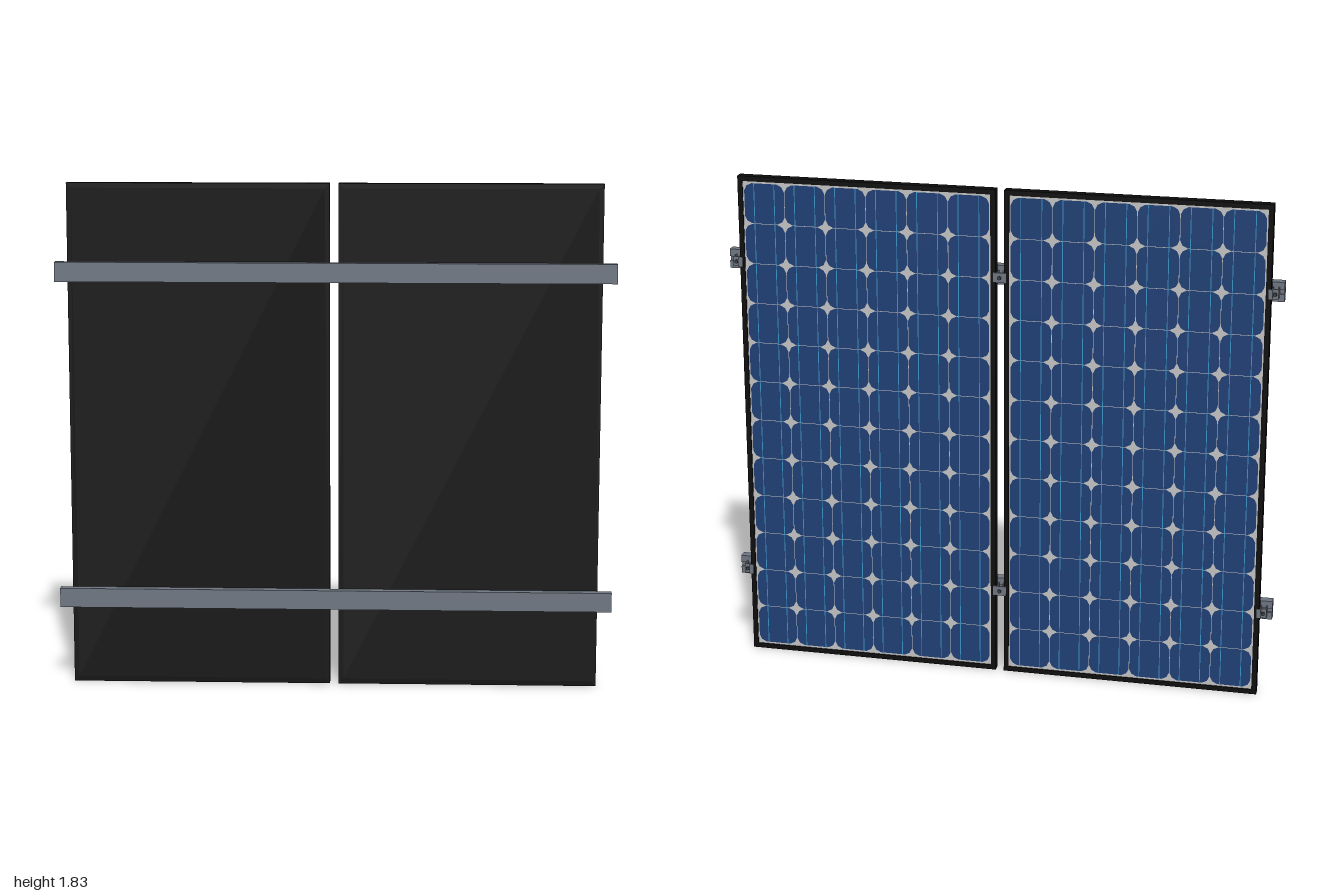
import * as THREE from 'three';
import { mergeGeometries } from 'three/addons/utils/BufferGeometryUtils.js';

const mat = (name, color, side = THREE.FrontSide) => {
  const m = new THREE.MeshStandardMaterial({ color, side });
  m.name = name;
  return m;
};

export function createModel() {
  const black = mat('black frame', 0x0d0d0d);
  const sheetWhite = mat('backing sheet', 0xc4c4c4);
  const cellBlue = mat('cell blue', 0x1f3f75);
  const busBlue = mat('busbar light blue', 0x3a93c6);
  const steel = mat('rail grey', 0x6e7681);
  const dark = mat('bolt dark grey', 0x3c4046);

  const model = new THREE.Group();
  model.name = 'solarPanelArray';
  const add = (parent, name, geo, material, x = 0, y = 0, z = 0) => {
    const mesh = new THREE.Mesh(geo, material);
    mesh.name = name;
    mesh.position.set(x, y, z);
    parent.add(mesh);
    return mesh;
  };
  const polygon = (pts) => new THREE.Shape(pts.map(([x, y]) => new THREE.Vector2(x, y)));
  const rect = (w, h) => polygon([[-w / 2, -h / 2], [w / 2, -h / 2], [w / 2, h / 2], [-w / 2, h / 2]]);
  const extrude = (shape, depth) =>
    new THREE.ExtrudeGeometry(shape, { depth, bevelEnabled: false });

  // Panel: frame, backing, and a grid of cut-corner cells facing -z
  const W = 0.938, H = 1.825, D = 0.034, LIP = 0.018, COLS = 6, ROWS = 12;
  const frameShape = rect(W, H);
  frameShape.holes.push(rect(W - 2 * LIP, H - 2 * LIP));
  const frameGeo = extrude(frameShape, D).translate(0, 0, -D);

  const innerW = W - 2 * LIP - 0.008, innerH = H - 2 * LIP - 0.012;
  const pw = innerW / COLS, ph = innerH / ROWS;
  const a = pw / 2 - 0.001, b = ph / 2 - 0.001, c = 0.027, k = 0.009;
  const cellShape = polygon([
    [-a + c, -b], [a - c, -b], [a - k, -b + k], [a, -b + c], [a, b - c], [a - k, b - k],
    [a - c, b], [-a + c, b], [-a + k, b - k], [-a, b - c], [-a, -b + c], [-a + k, -b + k],
  ]);
  const cells = [], bars = [];
  for (let i = 0; i < COLS; i++) {
    const x = (i + 0.5) * pw - innerW / 2;
    for (let j = 0; j < ROWS; j++) {
      const y = (j + 0.5) * ph - innerH / 2;
      cells.push(new THREE.ShapeGeometry(cellShape).rotateY(Math.PI).translate(x, y, -0.0308));
    }
    for (const s of [-1, 1]) {
      bars.push(new THREE.PlaneGeometry(0.003, innerH).rotateY(Math.PI)
        .translate(x + s * pw * 0.25, 0, -0.0316));
    }
  }
  const cellGeo = mergeGeometries(cells), barGeo = mergeGeometries(bars);

  for (const [name, x] of [['rightPanel', -0.488], ['leftPanel', 0.481]]) {
    const panel = new THREE.Group();
    panel.name = name;
    panel.position.set(x, H / 2, 0);
    add(panel, 'frame', frameGeo, black);
    add(panel, 'frontCover', new THREE.BoxGeometry(W - 2 * LIP, H - 2 * LIP, 0.004), black, 0, 0, -0.002);
    add(panel, 'backingSheet', new THREE.BoxGeometry(W - 2 * LIP, H - 2 * LIP, 0.026), sheetWhite, 0, 0, -0.017);
    add(panel, 'cells', cellGeo, cellBlue);
    add(panel, 'busbars', barGeo, busBlue);
    model.add(panel);
  }

  // Rail: hollow section with a slot on the panel side, run along x
  const railShape = polygon([
    [0.034, -0.035], [0.034, 0.035], [0.001, 0.035], [0.001, 0.008], [0.009, 0.008],
    [0.009, -0.008], [0.001, -0.008], [0.001, -0.035],
  ]);
  for (const s of [-1, 1]) {
    const hole = new THREE.Path();
    const y0 = s * 0.011, y1 = s * 0.031;
    hole.moveTo(0.005, y0).lineTo(0.03, y0).lineTo(0.03, y1).lineTo(0.005, y1).closePath();
    railShape.holes.push(hole);
  }
  // Shape x becomes z, shape y stays y, extrusion becomes -x
  const railGeo = extrude(railShape, 2).translate(0, 0, -1).rotateY(-Math.PI / 2);

  // Clamp profiles in x (across) and z (depth), extruded along y
  const clampHeight = 0.036;
  const clampGeo = (pts) => extrude(polygon(pts), clampHeight)
    .translate(0, 0, -clampHeight / 2).rotateX(-Math.PI / 2);
  const midClamp = clampGeo([
    [-0.012, -0.002], [-0.008, -0.002], [-0.008, 0.034], [0.008, 0.034], [0.008, -0.002],
    [0.012, -0.002], [0.012, 0.035], [0.024, 0.035], [0.024, 0.039], [-0.024, 0.039],
    [-0.024, 0.035], [-0.012, 0.035],
  ]);
  const endPts = [
    [0.002, -0.002], [0.006, -0.002], [0.006, 0.028], [0.022, 0.028], [0.022, -0.002],
    [0.026, -0.002], [0.026, 0.032], [0.006, 0.032], [0.006, 0.039], [-0.01, 0.039],
    [-0.01, 0.035], [0.002, 0.035],
  ];
  const endClampLeft = clampGeo(endPts);
  const endClampRight = clampGeo(endPts.map(([x, z]) => [-x, z]));
  const boltGeo = new THREE.CylinderGeometry(0.007, 0.007, 0.008, 6).rotateX(Math.PI / 2);
  const shankGeo = new THREE.CylinderGeometry(0.003, 0.003, 0.04, 8).rotateX(Math.PI / 2);

  for (const [name, y] of [['lowerRail', 0.32], ['upperRail', 1.51]]) {
    const rail = new THREE.Group();
    rail.name = name;
    rail.position.y = y;
    add(rail, 'railBeam', railGeo, steel);
    const clamps = [
      ['rightEndClamp', endClampRight, -0.957, -0.971, -0.036],
      ['middleClamp', midClamp, -0.0035, -0.0035, -0.042],
      ['leftEndClamp', endClampLeft, 0.95, 0.964, -0.036],
    ];
    for (const [clampName, geo, x, boltX, boltZ] of clamps) {
      add(rail, clampName, geo, steel, x);
      add(rail, 'boltHead', boltGeo, dark, boltX, 0, boltZ);
      add(rail, 'boltShank', shankGeo, dark, boltX, 0, boltZ + 0.02);
    }
    model.add(rail);
  }

  // The whole array is turned very slightly about the vertical
  model.rotation.y = 0.0125;
  const root = new THREE.Group();
  root.name = 'model';
  root.add(model);
  return root;
}
